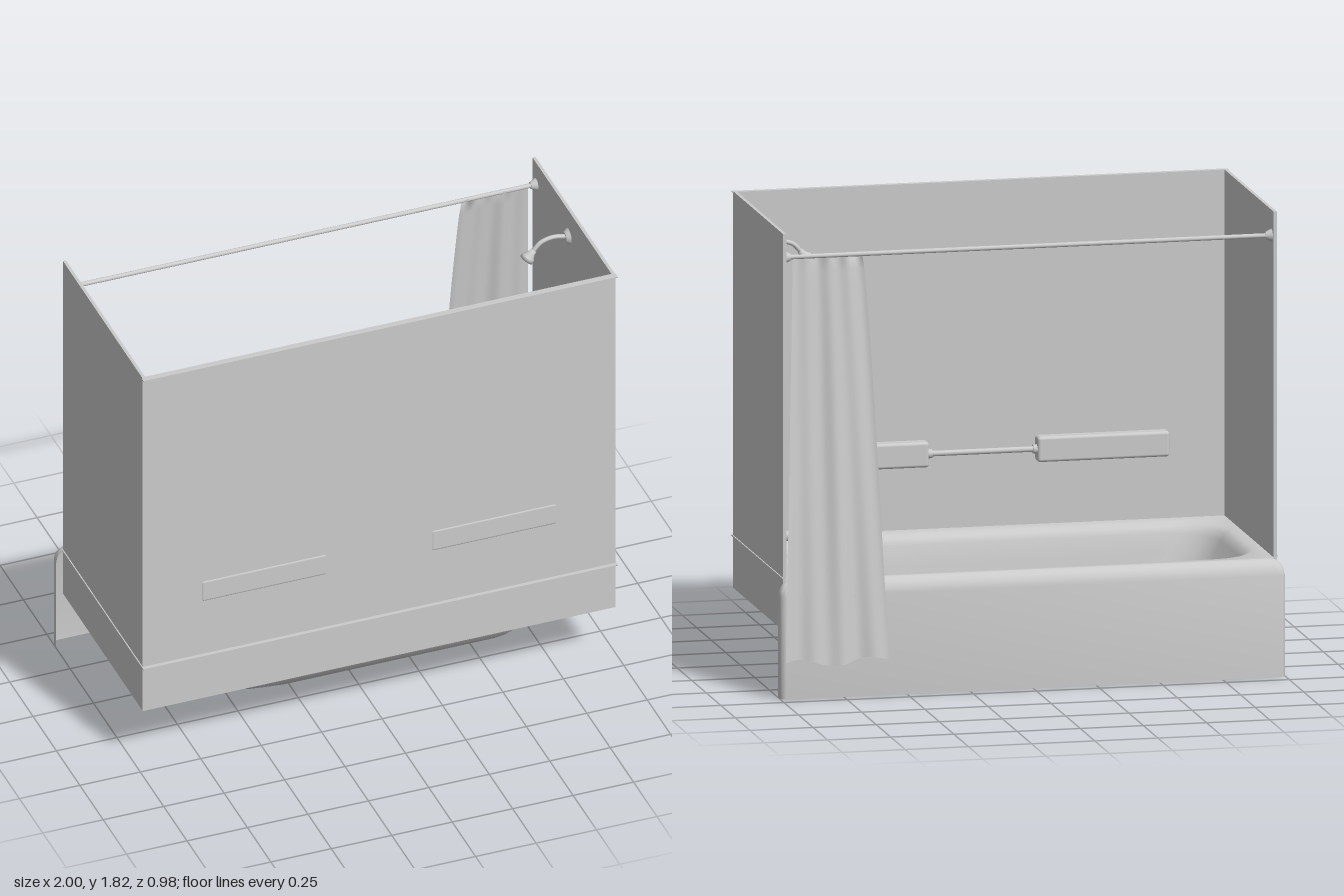
import * as THREE from 'three';
import { toCreasedNormals } from 'three/addons/utils/BufferGeometryUtils.js';
import { RoundedBoxGeometry } from 'three/addons/geometries/RoundedBoxGeometry.js';
import { ParametricGeometry } from 'three/addons/geometries/ParametricGeometry.js';

const solid = new THREE.MeshStandardMaterial({ color: 0xcccccc });
const sheet = new THREE.MeshStandardMaterial({ color: 0xcccccc, side: THREE.DoubleSide });

// Surface through cross-sections, each an array of Vector3 of equal length
function loft(sections, closed, crease) {
  const n = sections[0].length, pos = [], index = [];
  sections.forEach(s => s.forEach(p => pos.push(p.x, p.y, p.z)));
  for (let j = 0; j < sections.length - 1; j++) {
    for (let i = 0; i < (closed ? n : n - 1); i++) {
      const a = j * n + i, b = j * n + (i + 1) % n, c = a + n, d = b + n;
      index.push(a, c, b, b, c, d);
    }
  }
  const g = new THREE.BufferGeometry();
  g.setAttribute('position', new THREE.Float32BufferAttribute(pos, 3));
  g.setIndex(index);
  return toCreasedNormals(g, crease);
}

// Rounded rectangle at height y, running +x to +z to -x to -z
function roundedLoop(x0, x1, z0, z1, r, y, segs = 5) {
  const pts = [];
  [[x1 - r, z1 - r], [x0 + r, z1 - r], [x0 + r, z0 + r], [x1 - r, z0 + r]].forEach(([cx, cz], k) => {
    for (let i = 0; i <= segs; i++) {
      const a = (k + i / segs) * Math.PI / 2;
      pts.push(new THREE.Vector3(cx + r * Math.cos(a), y, cz + r * Math.sin(a)));
    }
  });
  return pts;
}

export function createModel() {
  const model = new THREE.Group();
  const add = (name, geo, x = 0, y = 0, z = 0, mat = solid) => {
    const m = new THREE.Mesh(geo, mat);
    m.name = name;
    m.position.set(x, y, z);
    model.add(m);
    return m;
  };
  const box = (w, h, d) => new THREE.BoxGeometry(w, h, d);
  const tube = (pts, r) => new THREE.TubeGeometry(
    new THREE.CatmullRomCurve3(pts.map(p => new THREE.Vector3(...p))), 20, r, 12);

  // Deck and basin in one surface, from the wall inwards and down: x0, x1, z0, z1, radius, y
  const rings = [
    [-0.97, 0.97, -0.402, 0.465, 0.002, 0.46],
    [-0.925, 0.875, -0.36, 0.385, 0.19, 0.458],
    [-0.9, 0.85, -0.34, 0.365, 0.18, 0.445],
    [-0.885, 0.838, -0.33, 0.355, 0.18, 0.42],
    [-0.84, 0.825, -0.315, 0.345, 0.19, 0.34],
    [-0.78, 0.81, -0.295, 0.335, 0.2, 0.26],
    [-0.72, 0.785, -0.28, 0.325, 0.2, 0.2],
    [-0.6, 0.755, -0.245, 0.285, 0.2, 0.11],
    [-0.42, 0.725, -0.15, 0.18, 0.14, 0.025],
    [0.1, 0.2, 0.01, 0.02, 0.002, 0.02],
  ].map(r => roundedLoop(...r));
  add('tubBasin', loft(rings, true, 1.3), 0, 0, 0, sheet);

  // Hollow apron panel with rounded ends and rolled top edge: y, inset
  const apron = [[0, 0], [0.4, 0], [0.425, 0.005], [0.445, 0.017], [0.456, 0.032], [0.46, 0.049]]
    .map(([y, d]) => {
      const x = 1 - d, z = -0.45 + d, r = Math.min(0.03, -0.4 - z), pts = [new THREE.Vector3(-x, y, -0.4)];
      for (const s of [-1, 1]) {
        for (let i = 0; i <= 5; i++) {
          const a = (s < 0 ? i : 5 - i) / 5 * Math.PI / 2;
          pts.push(new THREE.Vector3(s * (x - r + r * Math.cos(a)), y, z + r - r * Math.sin(a)));
        }
      }
      pts.push(new THREE.Vector3(x, y, -0.4));
      return pts;
    });
  add('apron', loft(apron, false, 1.3), 0, 0, 0, sheet);

  // Surround walls, reaching down to the skirt of the tub
  add('longWall', box(1.956, 1.56, 0.01), 0, 1.04, 0.464);
  for (const s of [-1, 1]) {
    add('endWall', box(0.013, 1.56, 0.855), s * 0.971, 1.04, 0.0415);
    add('endWallSeam', box(0.006, 0.005, 0.872), s * 0.979, 0.465, 0.05);
  }
  // Thin flanges along the top edge and at the tub seam
  for (const y of [0.465, 1.817]) add('wallFlange', box(1.962, 0.005, 0.02), 0, y, 0.475);

  // Shelves with a grab bar between them
  for (const s of [-1, 1]) add('shelf', new RoundedBoxGeometry(0.522, 0.1, 0.061, 3, 0.012), s * 0.476, 0.76, 0.441);
  const bar = add('grabBar', new THREE.CylinderGeometry(0.011, 0.011, 0.44, 16), 0, 0.76, 0.435);
  bar.rotation.z = Math.PI / 2;
  for (const s of [-1, 1]) {
    const c = add('barSocket', new THREE.CylinderGeometry(0.018, 0.018, 0.02, 16), s * 0.21, 0.76, 0.435);
    c.rotation.z = Math.PI / 2;
  }

  // Curtain rod and its end cups
  const rod = add('curtainRod', new THREE.CylinderGeometry(0.009, 0.009, 1.93, 16), 0, 1.72, -0.347);
  rod.rotation.z = Math.PI / 2;
  for (const s of [-1, 1]) {
    const cup = add('rodCup', new THREE.CylinderGeometry(0.014, 0.026, 0.025, 20), s * 0.953, 1.72, -0.347);
    cup.rotation.z = s * Math.PI / 2;
  }

  // Curtain: hangs from the rod and spreads out over the apron in soft folds
  const curtain = (u, v, p) => {
    const left = 0.655 - 0.075 * Math.pow(v, 0.7), right = 0.93 + 0.06 * v;
    const fold = Math.sin(u * 22 + v * 1.5) * 0.006 + Math.sin(u * 11 - v * 2 + 1) * 0.006;
    const hem = 0.014 * Math.sin(u * 9) * v;
    p.set(left + (right - left) * u, 1.725 - 1.58 * v + hem, -0.345 - 0.135 * v + fold * (0.6 + 0.5 * v));
  };
  add('curtain', new ParametricGeometry(curtain, 60, 24), 0, 0, 0, sheet);

  // Wall plates of the spout and the shower arm
  for (const [y, r] of [[0.545, 0.038], [1.7, 0.035]]) {
    const plate = add('wallPlate', new THREE.CylinderGeometry(r * 0.6, r, 0.018, 24), 0.957, y, 0);
    plate.rotation.z = Math.PI / 2;
  }

  // Tub spout
  add('spout', tube([[0.965, 0.545, 0], [0.88, 0.552, 0], [0.82, 0.548, 0], [0.79, 0.53, 0], [0.785, 0.505, 0]], 0.02));
  const tip = add('spoutMouth', new THREE.CylinderGeometry(0.02, 0.02, 0.006, 12), 0.785, 0.504, 0);
  tip.rotation.z = -0.15;

  // Shower arm and head
  add('showerArm', tube([[0.965, 1.7, 0], [0.9, 1.712, 0], [0.85, 1.7, 0], [0.815, 1.665, 0]], 0.009));
  const head = add('showerHead', new THREE.LatheGeometry(
    [[0, 0.025], [0.012, 0.025], [0.014, 0.01], [0.026, -0.01], [0.028, -0.025], [0, -0.025]]
      .map(([r, y]) => new THREE.Vector2(r, y)).reverse(), 20), 0.805, 1.652, 0);
  head.rotation.z = -0.7;

  return model;
}
